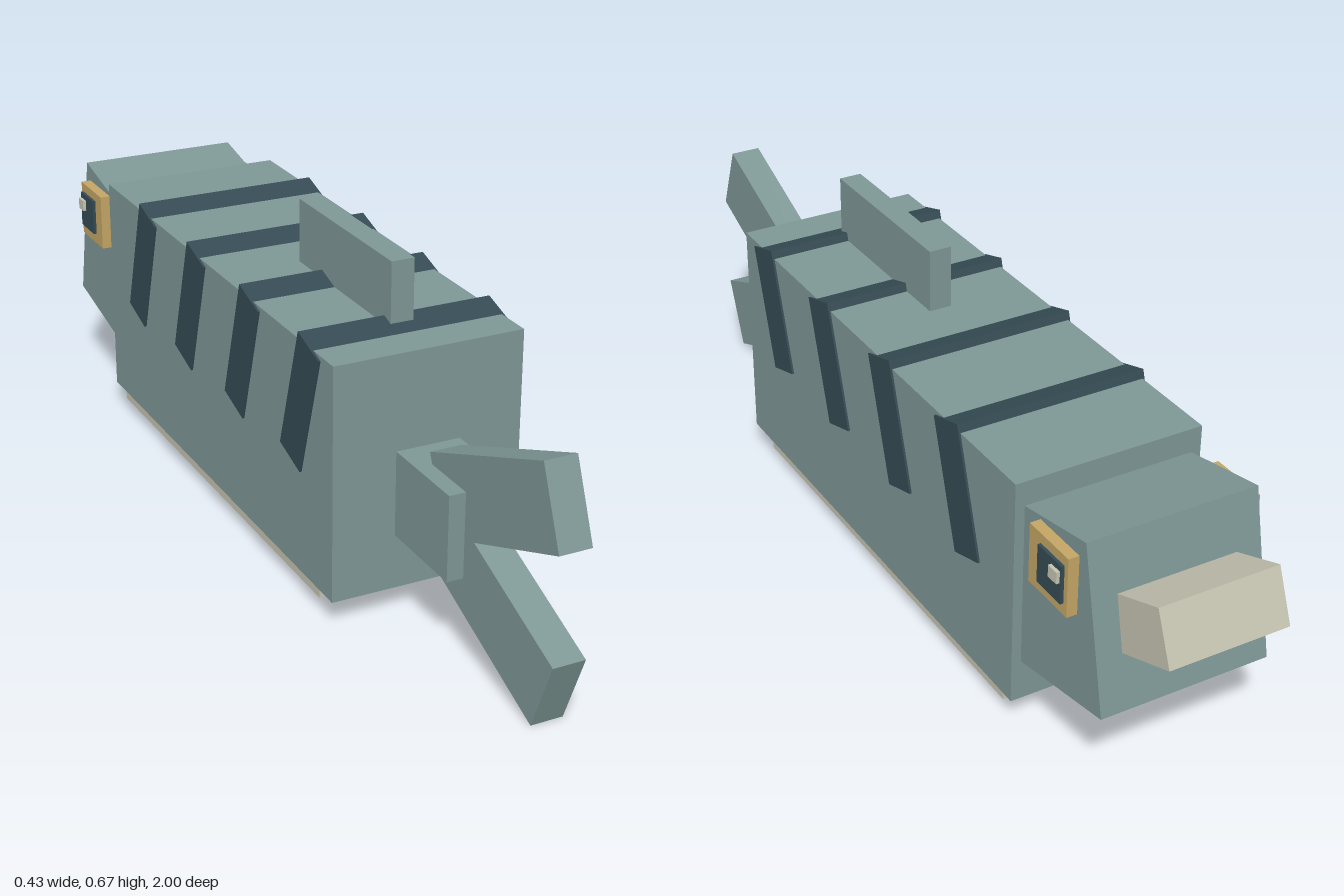
import * as THREE from 'three';

const mat = (name, color) => {
  const m = new THREE.MeshStandardMaterial({ color });
  m.name = name;
  return m;
};

export function createModel() {
  const fish = new THREE.Group();
  fish.name = 'fish';
  const skin = mat('greyTeal', 0x7d9694);
  const stripeDark = mat('darkSlate', 0x344a52);
  const cream = mat('cream', 0xc4c2b0);
  const gold = mat('gold', 0xc2a464);

  // Box by size and centre, pitched about x by degrees
  const box = (name, material, [w, h, d], [x, y, z], pitch = 0) => {
    const mesh = new THREE.Mesh(new THREE.BoxGeometry(w, h, d), material);
    mesh.name = name;
    mesh.position.set(x, y, z);
    mesh.rotation.x = THREE.MathUtils.degToRad(pitch);
    fish.add(mesh);
    return mesh;
  };

  // Body, belly plate and back fin
  box('body', skin, [0.396, 0.483, 1.12], [0, 0.2985, -0.06]);
  box('belly', cream, [0.38, 0.05, 1.01], [0, 0.055, -0.075]);
  box('backFin', skin, [0.048, 0.143, 0.39], [0, 0.6015, 0.195]);

  // Slanted bands wrapping over the back
  for (let i = 0; i < 4; i++) {
    box('stripe', stripeDark, [0.405, 0.27, 0.09], [0, 0.415, 0.367 - i * 0.262], 17.2);
  }

  // Head and upturned mouth
  box('head', skin, [0.356, 0.338, 0.32], [0, 0.332, -0.694], 11.8);
  box('mouth', cream, [0.25, 0.112, 0.2], [0, 0.379, -0.885], 22);

  // Eyes: gold rim, dark pupil, small glint
  for (const [side, s] of [['left', 1], ['right', -1]]) {
    box(side + 'EyeRim', gold, [0.026, 0.123, 0.125], [s * 0.187, 0.431, -0.735]);
    box(side + 'Pupil', stripeDark, [0.009, 0.079, 0.077], [s * 0.202, 0.433, -0.748]);
    box(side + 'Glint', cream, [0.009, 0.024, 0.027], [s * 0.209, 0.448, -0.769]);
  }

  // Tail root and forked lobes
  box('tailRoot', skin, [0.134, 0.174, 0.21], [0, 0.257, 0.592]);
  box('upperTailLobe', skin, [0.066, 0.16, 0.404], [0, 0.366, 0.7825], -21.8);
  box('lowerTailLobe', skin, [0.066, 0.16, 0.404], [0, 0.152, 0.7825], 21.8);

  return fish;
}
